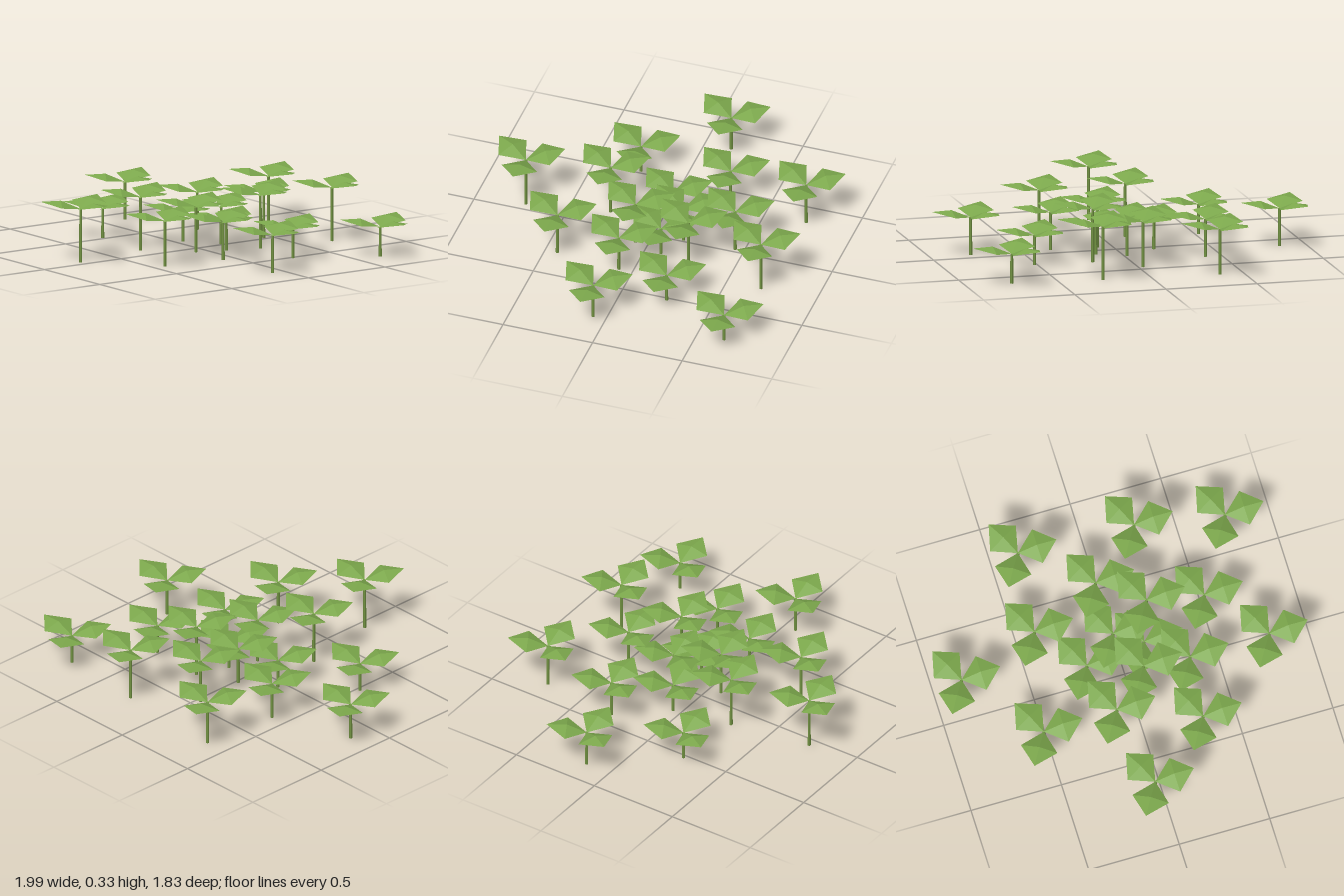
import * as THREE from 'three';

// One leaflet: a shallow four-sided pyramid, rising outward along +x
function leafletGeometry() {
  const inner = [0, 0, 0], tip = [0.213, 0.042, 0];
  const left = [0.108, 0.022, -0.099], right = [0.108, 0.022, 0.099];
  const crown = [0.105, 0.046, 0];
  const faces = [
    [inner, right, crown], [right, tip, crown], [tip, left, crown], [left, inner, crown], // upper facets
    [inner, left, tip], [inner, tip, right], // flat underside
  ];
  const geo = new THREE.BufferGeometry();
  geo.setAttribute('position', new THREE.Float32BufferAttribute(faces.flat(2), 3));
  geo.computeVertexNormals();
  return geo;
}

export function createModel() {
  const group = new THREE.Group();
  group.name = 'cloverPatch';
  const leafGreen = new THREE.MeshStandardMaterial({ color: 0x7ca84c });
  leafGreen.name = 'leafGreen';
  leafGreen.flatShading = true;
  const stemGreen = new THREE.MeshStandardMaterial({ color: 0x6f8f40 });
  stemGreen.name = 'stemGreen';
  stemGreen.flatShading = true;
  const leaflet = leafletGeometry();

  // Plants as [x, z, stem height]
  const plants = [
    [-0.37, -0.73, 0.245], [0.26, -0.69, 0.288], [0.75, -0.65, 0.16],
    [-0.025, -0.45, 0.245], [-0.41, -0.295, 0.203], [0.2, -0.265, 0.288],
    [0.515, -0.25, 0.16], [-0.857, -0.147, 0.203], [-0.195, -0.047, 0.16],
    [0.338, 0.077, 0.203], [0.777, 0.072, 0.203], [0.083, 0.07, 0.245],
    [-0.52, 0.243, 0.16], [-0.128, 0.28, 0.288], [0.303, 0.432, 0.245],
    [-0.05, 0.727, 0.288], [-0.015, -0.165, 0.203], [0.135, -0.09, 0.16],
  ];

  for (const [x, z, h] of plants) {
    const plant = new THREE.Group();
    plant.name = 'clover';
    plant.position.set(x, 0, z);

    const stem = new THREE.Mesh(new THREE.CylinderGeometry(0.008, 0.009, h, 6), stemGreen);
    stem.name = 'stem';
    stem.position.y = h / 2;
    plant.add(stem);

    // Three leaflets around the stem top
    for (let i = 0; i < 3; i++) {
      const leaf = new THREE.Mesh(leaflet, leafGreen);
      leaf.name = 'leaflet';
      leaf.position.y = h;
      leaf.rotation.y = (i * Math.PI * 2) / 3;
      plant.add(leaf);
    }
    group.add(plant);
  }
  return group;
}
